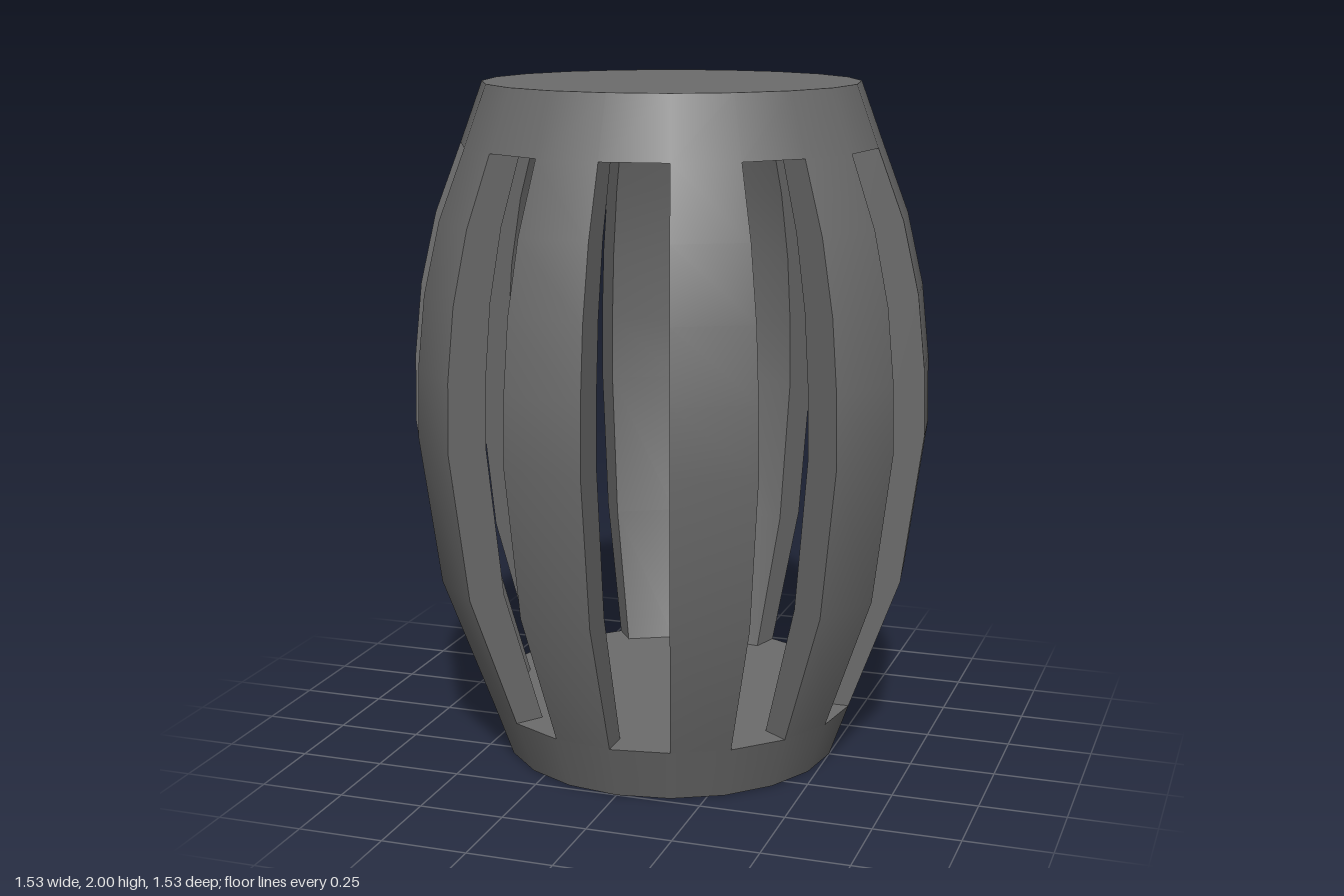
import * as THREE from 'three';

const STEP = Math.PI / 10; // one of 20 barrel facets
const INNER = 0.84;        // inner wall radius relative to the outer wall
const COLOR = 0x6c6c6c;    // dark grey

// Outer wall of the slats: [radius, height], bottom to top
const OUTER = [
  [0.557, 0.16], [0.705, 0.56], [0.765, 1.0], [0.76, 1.2],
  [0.738, 1.41], [0.69, 1.62], [0.613, 1.823],
].map(([r, y]) => new THREE.Vector2(r, y));

const INNER_WALL = OUTER.map((p) => new THREE.Vector2(p.x * INNER, p.y)).reverse();

const material = new THREE.MeshStandardMaterial({ color: COLOR });
const sideMaterial = new THREE.MeshStandardMaterial({ color: COLOR, side: THREE.DoubleSide });

function mesh(name, geometry, mat = material) {
  const m = new THREE.Mesh(geometry, mat);
  m.name = name;
  return m;
}

// Solid end of the barrel, a short 20-sided frustum
function end(name, rTop, rBottom, y0, y1) {
  const m = mesh(name, new THREE.CylinderGeometry(rTop, rBottom, y1 - y0, 20));
  m.position.y = (y0 + y1) / 2;
  return m;
}

// One curved slat, a facet wide, with radial sides
function slat() {
  const group = new THREE.Group();
  group.name = 'slat';
  group.add(mesh('slatOuterFace', new THREE.LatheGeometry(OUTER, 1, 0, STEP)));
  group.add(mesh('slatInnerFace', new THREE.LatheGeometry(INNER_WALL, 1, 0, STEP)));
  const section = new THREE.Shape([...OUTER, ...INNER_WALL]);
  for (const phi of [0, STEP]) {
    const side = new THREE.ShapeGeometry(section).rotateY(phi - Math.PI / 2);
    group.add(mesh('slatSide', side, sideMaterial));
  }
  return group;
}

export function createModel() {
  const model = new THREE.Group();
  model.name = 'slattedBarrel';
  model.add(end('bottomEnd', 0.557, 0.5, 0, 0.16));
  model.add(end('topEnd', 0.548, 0.613, 1.823, 2));

  // Ten slats on alternate facets
  for (let i = 0; i < 10; i++) {
    const s = slat();
    s.rotation.y = (2 * i - 1) * STEP;
    model.add(s);
  }
  return model;
}
